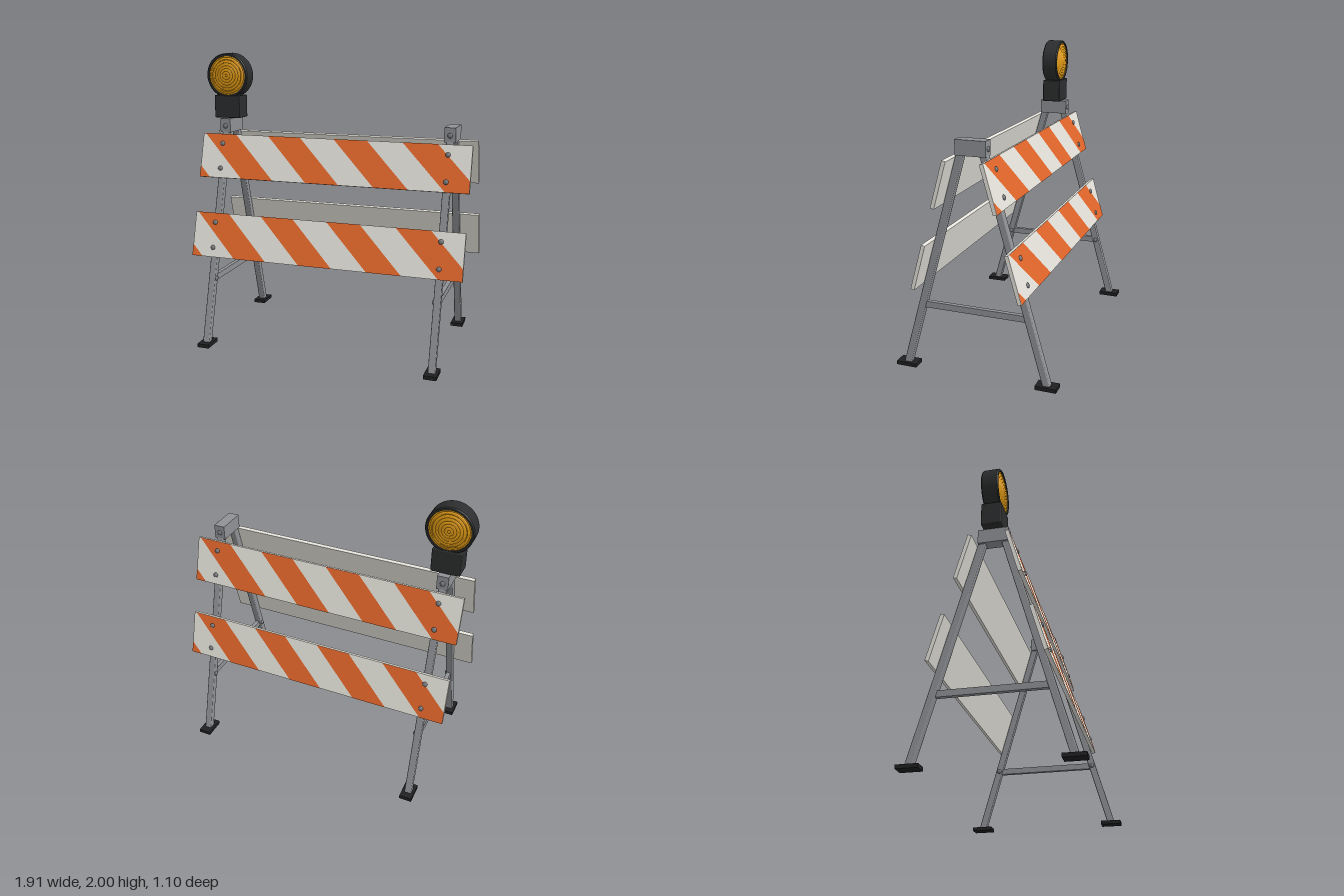
import * as THREE from 'three';
import { toCreasedNormals } from 'three/addons/utils/BufferGeometryUtils.js';
import { RoundedBoxGeometry } from 'three/addons/geometries/RoundedBoxGeometry.js';

const mat = (name, color, side = THREE.FrontSide) => {
  const m = new THREE.MeshStandardMaterial({ color, side });
  m.name = name;
  return m;
};

export function createModel() {
  const steel = mat('galvanised steel', 0x8f9195);
  const boltSteel = mat('bolt steel', 0x75777b);
  const white = mat('board white', 0xe6e4dc);
  const orange = mat('stripe orange', 0xe8692c);
  const rubber = mat('foot rubber', 0x202022);
  const black = mat('lamp housing black', 0x2c2d2e);
  const amber = mat('lens amber', 0xe09a14);

  const model = new THREE.Group();
  model.name = 'barricade';

  function add(parent, name, geometry, material, x = 0, y = 0, z = 0) {
    const m = new THREE.Mesh(geometry, material);
    m.name = name;
    m.position.set(x, y, z);
    parent.add(m);
    return m;
  }

  const LEG_X = 0.8, LEG = 0.048, FOOT_Z = 0.48, FOOT_H = 0.025;
  const TILT = Math.atan(0.403 / 1.43);
  const BOARD_W = 1.91, BOARD_H = 0.31, BOARD_T = 0.025;

  // Low domed bolt head facing +z
  const boltGeo = new THREE.SphereGeometry(0.017, 16, 6, 0, Math.PI * 2, 0, Math.PI / 2);
  boltGeo.rotateX(Math.PI / 2).scale(1, 1, 0.65);

  // Keeps the part of a polygon where sign * x <= limit
  function clip(points, sign, limit) {
    const out = [];
    points.forEach((p, i) => {
      const q = points[(i + 1) % points.length];
      const a = limit - sign * p.x, b = limit - sign * q.x;
      if (a >= 0) out.push(p);
      if (a * b < 0) out.push(p.clone().lerp(q, a / (a - b)));
    });
    return out;
  }

  // Diagonal stripes trimmed to the board's ends
  const stripeGeos = [];
  const period = BOARD_W / 4, stripeW = 0.235, shift = 0.305, h = BOARD_H / 2;
  for (let i = -1; i < 4; i++) {
    const x = -0.938 + i * period;
    let pts = [[x, h], [x + shift, -h], [x + shift + stripeW, -h], [x + stripeW, h]]
      .map(([px, py]) => new THREE.Vector2(px, py));
    pts = clip(clip(pts, 1, BOARD_W / 2), -1, BOARD_W / 2);
    if (pts.length > 2) stripeGeos.push(new THREE.ShapeGeometry(new THREE.Shape(pts)));
  }

  function makeBoard() {
    const board = new THREE.Group();
    add(board, 'boardPanel', new THREE.BoxGeometry(BOARD_W, BOARD_H, BOARD_T), white);
    for (const g of stripeGeos) add(board, 'boardStripe', g, orange, 0, 0, BOARD_T / 2 + 0.002);
    for (const x of [-LEG_X, LEG_X])
      for (const y of [-0.088, 0.088])
        add(board, 'boardBolt', boltGeo, boltSteel, x, y, BOARD_T / 2 + 0.002);
    return board;
  }

  // Front and back frames are the same panel turned half way round
  for (const [name, turn] of [['frontFrame', 0], ['backFrame', Math.PI]]) {
    const frame = new THREE.Group();
    frame.name = name;
    frame.rotation.y = turn;
    model.add(frame);

    const slope = new THREE.Group();
    slope.name = 'slopedPanel';
    slope.position.set(0, 0.02, FOOT_Z);
    slope.rotation.x = -TILT;
    frame.add(slope);

    const legLength = 1.53;
    for (const x of [-LEG_X, LEG_X]) {
      add(slope, 'leg', new RoundedBoxGeometry(LEG, legLength, LEG, 2, 0.007), steel, x, legLength / 2 - 0.005, 0);
      add(frame, 'foot', new THREE.BoxGeometry(0.086, FOOT_H, 0.14), rubber, x, FOOT_H / 2, FOOT_Z);
      add(frame, 'hingeBolt', boltGeo, boltSteel, x, 1.495, 0.1);
      // Brace bolt on the inner face of the leg
      const s = Math.sign(x);
      const b = add(frame, 'braceBolt', boltGeo, boltSteel, x - s * LEG / 2, 0.45, 0.358);
      b.rotation.y = -s * Math.PI / 2;
    }
    for (const [boardName, y] of [['lowerBoard', 0.75], ['upperBoard', 1.309]]) {
      const board = makeBoard();
      board.name = boardName;
      board.position.set(0, y, LEG / 2 + BOARD_T / 2);
      slope.add(board);
    }
  }

  // Hinge caps and cross braces
  for (const x of [-LEG_X, LEG_X]) {
    add(model, 'hingeCap', new THREE.BoxGeometry(0.076, 0.097, 0.2), steel, x, 1.4985, 0);
    add(model, 'crossBrace', new THREE.BoxGeometry(0.03, 0.042, 0.7), steel, x, 0.45, 0);
  }

  // Warning lamp
  const lamp = new THREE.Group();
  lamp.name = 'warningLamp';
  lamp.position.set(-LEG_X, 1.845, 0);
  model.add(lamp);
  add(lamp, 'batteryBox', new RoundedBoxGeometry(0.192, 0.158, 0.132, 2, 0.006), black, 0, -0.217, 0);

  const lathe = (pts, crease) => toCreasedNormals(
    new THREE.LatheGeometry(pts.map(([r, y]) => new THREE.Vector2(r, y)), 48).rotateX(Math.PI / 2), crease);

  // Drum housing with a lip around each lens
  add(lamp, 'lampHousing', lathe([
    [0, -0.042], [0.134, -0.042], [0.137, -0.056], [0.148, -0.056], [0.155, -0.049],
    [0.155, 0.049], [0.148, 0.056], [0.137, 0.056], [0.134, 0.042], [0, 0.042],
  ], 0.6), black);

  // Domed lens with concentric ridges, one on each face
  const lensPts = [];
  const steps = 28, lensR = 0.136;
  for (let i = 0; i <= steps; i++) {
    const r = lensR * (1 - i / steps);
    const ridge = i % 4 === 2 ? -0.003 : 0;
    lensPts.push([r, 0.048 + 0.022 * (1 - (r / lensR) ** 2) + ridge]);
  }
  const lensGeo = lathe(lensPts, 0.4);
  add(lamp, 'frontLens', lensGeo, amber);
  add(lamp, 'backLens', lensGeo, amber).rotation.y = Math.PI;

  return model;
}
